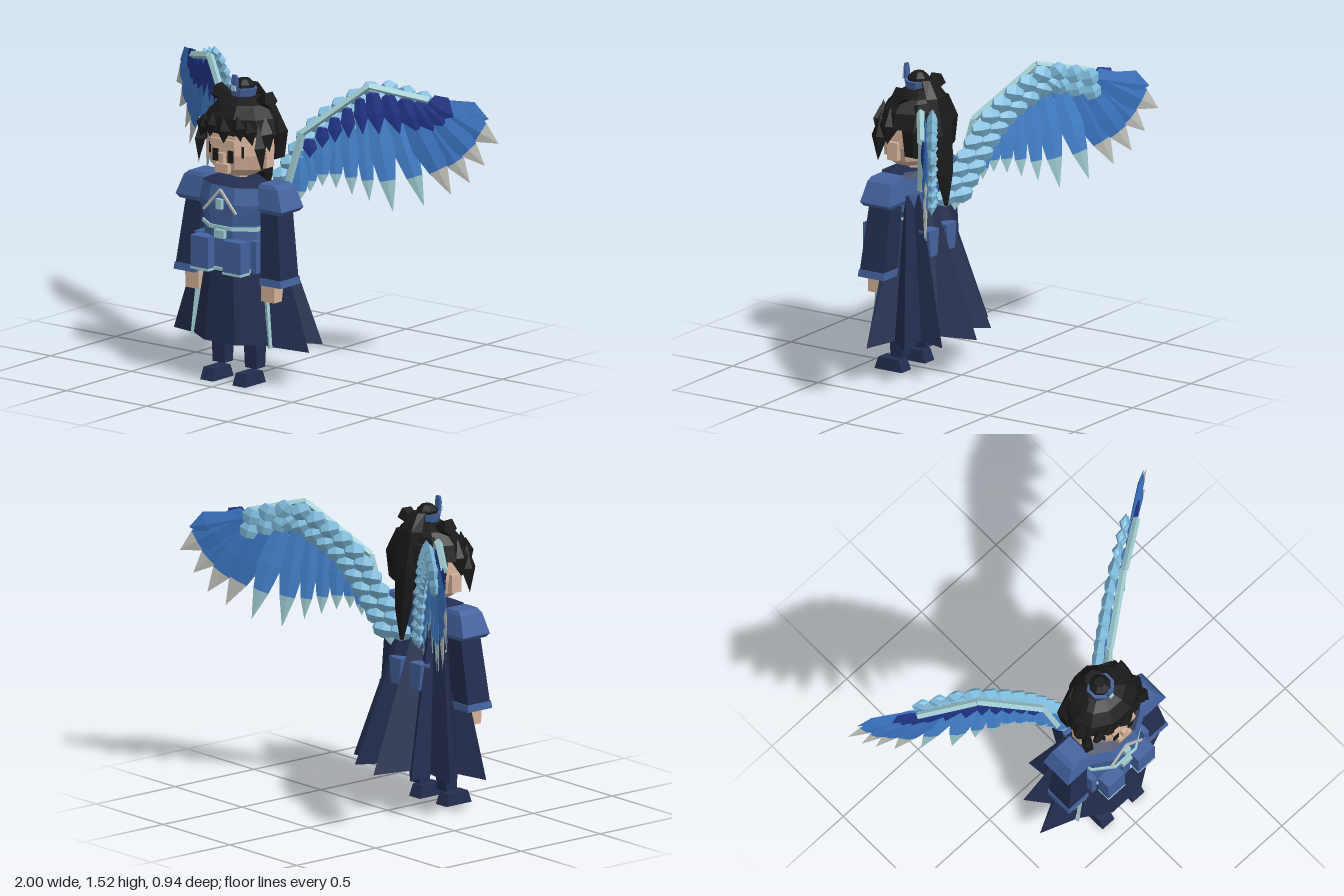
import * as THREE from 'three';

const mat = (name, color, side = THREE.FrontSide) => {
  const m = new THREE.MeshStandardMaterial({ color, side });
  m.name = name;
  return m;
};
const V = (x, y, z) => new THREE.Vector3(x, y, z);

export function createModel() {
  const navy = mat('navy cloth', 0x232e50, THREE.DoubleSide);
  const armour = mat('armour blue', 0x44639f);
  const skin = mat('skin', 0xd6b29a);
  const black = mat('black hair', 0x1a1a1a);
  const feather = mat('feather blue', 0x4686d2);
  const outerBlue = mat('outer feather blue', 0x3b76c4);
  const royal = mat('royal blue', 0x22368c);
  const teal = mat('pale teal trim', 0xa0cdd2);
  const sky = mat('sky blue', 0x82bfe0);
  const grey = mat('grey tip', 0xc3c3bd);

  const model = new THREE.Group();

  // Faceted mesh
  function add(parent, name, geo, material) {
    const g = geo.index ? geo.toNonIndexed() : geo;
    g.computeVertexNormals();
    const mesh = new THREE.Mesh(g, material);
    mesh.name = name;
    parent.add(mesh);
    return mesh;
  }
  // Loft through rings [y, half width, half depth, centre z, centre x], top to bottom
  function loft(rings, n = 4) {
    const k = rings.length - 1, s = 1 / Math.cos(Math.PI / n);
    const g = new THREE.CylinderGeometry(s, s, 1, n, k, false, Math.PI / n);
    const p = g.attributes.position;
    for (let i = 0; i < p.count; i++) {
      const [y, rx, rz, zc, xc = 0] = rings[Math.round((0.5 - p.getY(i)) * k)];
      p.setXYZ(i, p.getX(i) * rx + xc, y, p.getZ(i) * rz + zc);
    }
    return g;
  }
  const box = (w, h, d, x, y, z) => new THREE.BoxGeometry(w, h, d).translate(x, y, z);
  // Pointed lock of hair
  function lock(parent, name, x, y, z, w, h, d, tilt = 0) {
    const m = add(parent, name, new THREE.OctahedronGeometry(1).scale(w, h, d), black);
    m.position.set(x, y, z);
    m.rotation.z = tilt;
  }
  // Flat bar between two points
  function bar(parent, name, a, b, w, d, material) {
    const m = add(parent, name, new THREE.BoxGeometry(w, a.distanceTo(b), d), material);
    m.position.copy(a).add(b).multiplyScalar(0.5);
    m.quaternion.setFromUnitVectors(V(0, 1, 0), b.clone().sub(a).normalize());
  }

  // Torso, belt and skirt
  add(model, 'torso', loft([[1.0, 0.1, 0.07, 0.29], [0.985, 0.18, 0.11, 0.3], [0.9, 0.195, 0.12, 0.31],
    [0.8, 0.16, 0.115, 0.31], [0.57, 0.165, 0.12, 0.3]], 8), armour);
  add(model, 'collar', loft([[1.01, 0.12, 0.08, 0.28], [0.985, 0.18, 0.115, 0.3]], 8), navy);
  add(model, 'belt', loft([[0.79, 0.17, 0.125, 0.31], [0.772, 0.17, 0.125, 0.31]], 8), teal);
  add(model, 'skirtTrim', loft([[0.58, 0.172, 0.13, 0.3], [0.565, 0.172, 0.13, 0.3]], 8), teal);
  add(model, 'skirt', loft([[0.57, 0.165, 0.125, 0.295], [0.21, 0.23, 0.15, 0.29]], 8), navy);
  add(model, 'buckle', box(0.06, 0.04, 0.03, 0, 0.75, 0.43), teal);
  add(model, 'brooch', box(0.035, 0.05, 0.02, 0, 0.9, 0.44), teal);
  add(model, 'frontTasset', box(0.05, 0.14, 0.02, 0, 0.655, 0.425), armour);

  // Cape as a pleated fan of points and valleys
  const half = [[0.25, 0.34], [0.42, 0.27], [0.28, 0.2], [0.36, 0.09], [0.2, 0.1], [0.21, -0.03], [0.09, 0.07]];
  const hem = [...half, [0, -0.09], ...half.map(([x, z]) => [-x, z]).reverse()];
  const capePos = [], capeIdx = [];
  hem.forEach(([x, z], i) => {
    const top = [x * 0.42, 0.9, 0.27 + (z - 0.27) * 0.27];
    const lowY = 0.19 + (i % 2 ? 0 : 0.015);
    capePos.push(...top, x, lowY, z);
    if (i) capeIdx.push(2 * i - 2, 2 * i - 1, 2 * i, 2 * i, 2 * i - 1, 2 * i + 1);
  });
  const cape = new THREE.BufferGeometry();
  cape.setAttribute('position', new THREE.Float32BufferAttribute(capePos, 3));
  cape.setIndex(capeIdx);
  add(model, 'cape', cape, navy);

  // Head
  const head = new THREE.Group();
  head.name = 'head';
  model.add(head);
  add(head, 'neck', loft([[1.06, 0.035, 0.03, 0.275], [0.98, 0.035, 0.03, 0.275]], 6), skin);
  add(head, 'face', loft([[1.32, 0.16, 0.13, 0.27], [1.14, 0.165, 0.135, 0.275], [1.07, 0.145, 0.12, 0.28],
    [1.03, 0.08, 0.07, 0.29]], 8), skin);
  add(head, 'browRidge', box(0.15, 0.035, 0.015, 0, 1.2, 0.412), skin);
  add(head, 'nose', box(0.03, 0.05, 0.03, 0, 1.125, 0.415), skin);
  add(head, 'mouth', box(0.08, 0.045, 0.025, 0, 1.075, 0.415), skin);
  add(head, 'hairCap', loft([[1.41, 0.07, 0.06, 0.25], [1.38, 0.13, 0.11, 0.25], [1.32, 0.18, 0.145, 0.26],
    [1.24, 0.195, 0.15, 0.262]], 10), black);
  add(head, 'backHair', loft([[1.36, 0.13, 0.06, 0.19], [1.24, 0.195, 0.075, 0.185], [1.11, 0.18, 0.06, 0.185],
    [1.08, 0.1, 0.03, 0.17]], 8), black);
  add(head, 'ponytail', loft([[1.46, 0.04, 0.03, 0.2], [1.38, 0.07, 0.035, 0.15], [1.2, 0.07, 0.03, 0.11],
    [1.0, 0.05, 0.03, 0.1], [0.84, 0.008, 0.008, 0.09]], 6), black);
  add(head, 'bun', loft([[1.49, 0.025, 0.025, 0.25], [1.465, 0.05, 0.05, 0.25], [1.4, 0.055, 0.055, 0.25]], 8), black);
  add(head, 'crownBand', loft([[1.45, 0.066, 0.062, 0.255], [1.405, 0.055, 0.055, 0.255]], 8), armour);
  add(head, 'crownSpike', loft([[1.52, 0.012, 0.006, 0.322], [1.49, 0.018, 0.007, 0.322], [1.43, 0.012, 0.007, 0.318]]), armour);
  add(head, 'crownJewel', box(0.025, 0.025, 0.012, 0, 1.455, 0.33), teal);
  [-0.14, -0.08, 0.01, 0.09, 0.145].forEach((x, i) =>
    lock(head, 'fringeLock', x, 1.265 + (i % 2) * 0.015, 0.425 - Math.abs(x) * 0.25, 0.045, 0.065, 0.025, x * 2));

  // Paired parts
  for (const s of [1, -1]) {
    const side = new THREE.Group();
    side.name = s > 0 ? 'leftSide' : 'rightSide';
    side.scale.x = s;
    model.add(side);

    // Legs
    add(side, 'leg', loft([[0.4, 0.045, 0.045, 0.29, 0.1], [0.075, 0.036, 0.033, 0.29, 0.1]]), navy);
    add(side, 'boot', loft([[0.06, 0.035, 0.06, 0.335, 0.1], [0, 0.04, 0.08, 0.335, 0.1]]), navy);

    // Arms
    add(side, 'shoulderPad', loft([[1.01, 0.045, 0.06, 0.285, 0.22], [0.99, 0.06, 0.068, 0.285, 0.23],
      [0.89, 0.072, 0.085, 0.285, 0.257], [0.87, 0.06, 0.075, 0.285, 0.25]]), armour);
    add(side, 'sleeve', loft([[0.9, 0.05, 0.06, 0.285, 0.23], [0.53, 0.062, 0.07, 0.305, 0.265]]), navy);
    add(side, 'cuff', loft([[0.55, 0.065, 0.074, 0.303, 0.264], [0.515, 0.067, 0.076, 0.305, 0.266]]), armour);
    add(side, 'hand', loft([[0.52, 0.042, 0.036, 0.325, 0.235], [0.43, 0.04, 0.03, 0.33, 0.235]]), skin);

    // Clothing details
    bar(side, 'capeTrim', V(0.2, 0.56, 0.335), V(0.237, 0.2, 0.345), 0.028, 0.015, teal);
    bar(side, 'chestChevron', V(0, 0.97, 0.435), V(0.1, 0.86, 0.437), 0.012, 0.01, grey);
    add(side, 'frontPouch', box(0.11, 0.16, 0.07, 0.1, 0.65, 0.437), armour);
    add(side, 'pouchTrim', box(0.114, 0.012, 0.074, 0.1, 0.568, 0.437), teal);
    add(side, 'sideTasset', box(0.03, 0.16, 0.11, 0.175, 0.65, 0.34), armour);
    add(side, 'backTasset', loft([[0.73, 0.045, 0.03, 0.14, 0.075], [0.6, 0.03, 0.02, 0.13, 0.075]]), armour);

    // Face and side hair
    add(side, 'eye', box(0.03, 0.06, 0.008, 0.047, 1.135, 0.412), black);
    add(side, 'eyeCorner', box(0.01, 0.055, 0.008, 0.1, 1.16, 0.385), black);
    add(side, 'ear', box(0.03, 0.09, 0.06, 0.172, 1.125, 0.28), skin);
    lock(side, 'sideLock', 0.185, 1.19, 0.355, 0.03, 0.12, 0.045, 0.1);
    lock(side, 'templeLock', 0.185, 1.25, 0.3, 0.035, 0.09, 0.06, 0.15);
    const puff = add(side, 'hairPuff', new THREE.CylinderGeometry(0.045, 0.03, 0.08, 5), black);
    puff.position.set(0.13, 1.395, 0.25);
    puff.rotation.set(0.3, 0, -1.2);

    side.add(makeWing());
  }

  // Wing lying in a swept-back upright plane
  function makeWing() {
    const wing = new THREE.Group();
    wing.name = 'wing';
    const normal = V(0.67, 0, 1).normalize();
    const P = ([x, y], off = 0) => V(x, y, 0.2 - 0.67 * x).addScaledVector(normal, off);
    // Ridged blade between two points; profile is [share of length, half width]
    function blade(name, a, b, off, profile, material, thick = 0.16) {
      const A = P(a, off), B = P(b, off), len = A.distanceTo(B);
      const up = B.clone().sub(A).normalize();
      const g = new THREE.LatheGeometry(profile.map(([t, r]) => new THREE.Vector2(r, t * len)), 4).scale(1, 1, thick);
      const m = add(wing, name, g, material);
      m.quaternion.setFromRotationMatrix(new THREE.Matrix4().makeBasis(up.clone().cross(normal), up, normal));
      m.position.copy(A);
    }

    const bases = [[0.72, 1.385], [0.7, 1.37], [0.66, 1.38], [0.61, 1.4], [0.55, 1.42], [0.49, 1.43], [0.44, 1.4],
      [0.39, 1.35], [0.34, 1.3], [0.29, 1.25], [0.24, 1.19], [0.2, 1.1], [0.17, 1.04], [0.14, 0.97]];
    const tips = [[1, 1.18], [0.945, 1.07], [0.885, 0.98], [0.81, 0.92], [0.7, 0.86], [0.575, 0.83], [0.48, 0.88],
      [0.41, 0.91], [0.345, 0.94], [0.29, 0.95], [0.24, 0.92], [0.2, 0.88], [0.16, 0.83], [0.12, 0.78]];
    bases.forEach((a, i) => {
      const b = tips[i], outer = i < 4, off = (i % 2) * 0.006;
      const w = i === 0 ? 0.085 : outer ? 0.075 : i < 6 ? 0.062 : 0.045;
      const cut = i < 6 ? 0.74 : 0.8;
      blade('flightFeather', a, b, off, [[0, 0], [0.03, w * 0.5], [0.5, w], [cut, w * 0.65]], outer ? outerBlue : feather);
      blade('featherTip', a, b, off, [[cut, w * 0.65], [1, 0]], outer ? grey : teal);
      // Short dark feathers over the front
      if (i < 11) {
        const c = [a[0] + (b[0] - a[0]) * 0.36, a[1] + (b[1] - a[1]) * 0.36];
        blade('frontCovert', a, c, 0.014, [[0, 0], [0.05, w * 0.5], [0.5, w * 0.8], [1, 0]], royal);
      }
    });
    // Outermost leading feather
    blade('leadingFeather', [0.68, 1.38], [0.96, 1.3], -0.004, [[0, 0], [0.35, 0.04], [0.75, 0.065], [1, 0]], outerBlue);

    // Pale arm along the leading edge
    const edge = [[0.15, 0.95], [0.21, 1.22], [0.48, 1.46], [0.72, 1.395]];
    for (let i = 0; i < 3; i++) bar(wing, 'wingArm', P(edge[i], 0.03), P(edge[i + 1], 0.025), 0.026, 0.026, teal);

    // Overlapping scale feathers on the back
    const path = new THREE.CatmullRomCurve3([V(0.06, 0.84, 0), V(0.15, 1.04, 0), V(0.26, 1.24, 0), V(0.4, 1.37, 0),
      V(0.52, 1.43, 0), V(0.74, 1.37, 0)]);
    for (let row = 0; row < 2; row++) {
      for (let i = 0; i < 14; i++) {
        const t = (i + row * 0.5) / 14, p = path.getPointAt(t), d = path.getTangentAt(t);
        const drop = row * 0.065;
        const a = [p.x - d.y * 0.035 + d.y * drop, p.y + d.x * 0.035 - d.x * drop];
        const b = [a[0] + d.x * 0.05 + d.y * 0.075, a[1] + d.y * 0.05 - d.x * 0.075];
        blade('backScale', a, b, -0.028 + row * 0.006,
          [[0, 0], [0.05, 0.03], [0.45, 0.048], [0.85, 0.036], [1, 0]], sky, 0.55);
      }
    }
    return wing;
  }

  return model;
}
